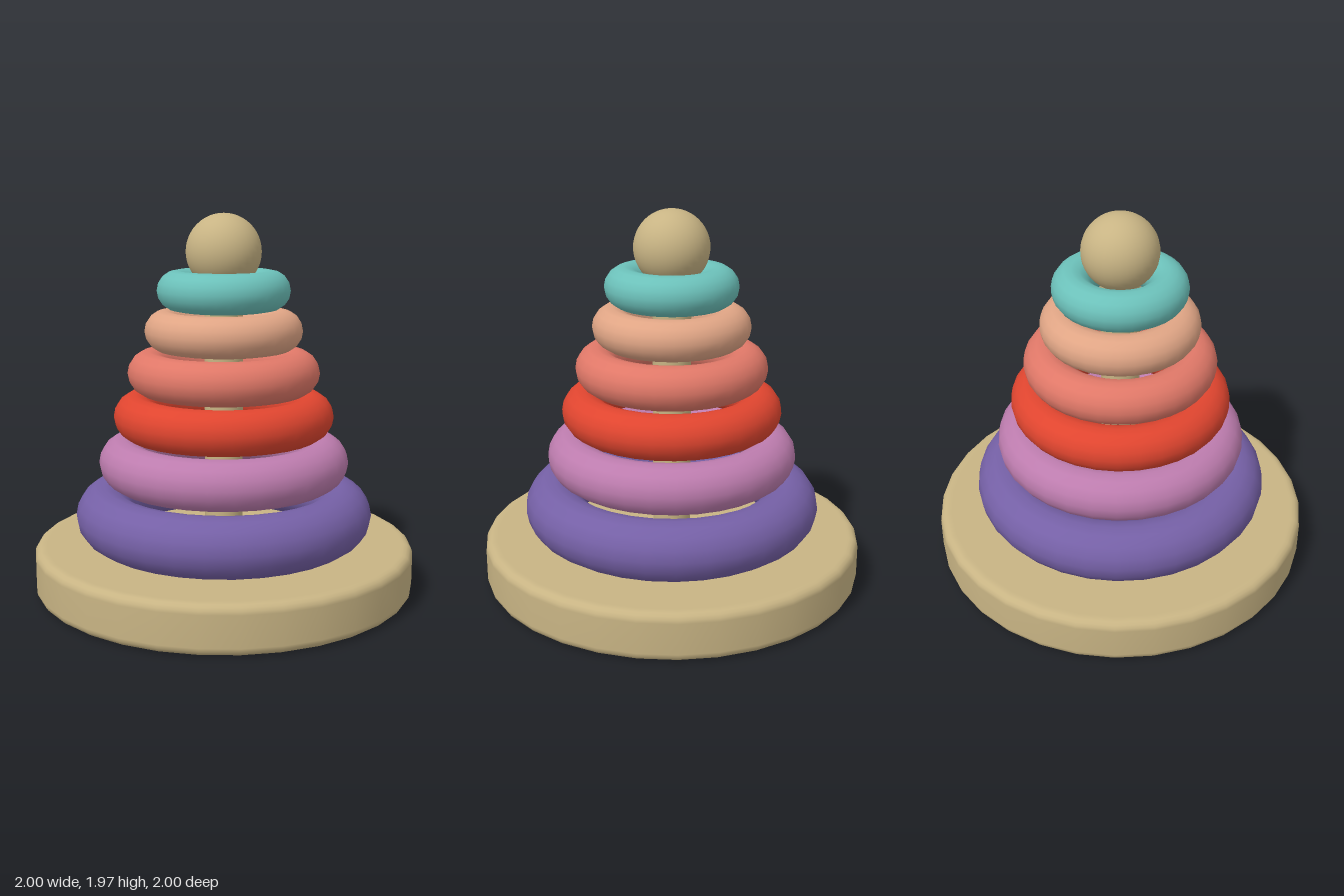
import * as THREE from 'three';

const material = (name, color) => {
  const m = new THREE.MeshStandardMaterial({ color });
  m.name = name;
  return m;
};

export function createModel() {
  const model = new THREE.Group();
  model.name = 'stackingRings';
  const wood = material('wood', 0xc8b484);
  const add = (name, geometry, mat, y = 0) => {
    const mesh = new THREE.Mesh(geometry, mat);
    mesh.name = name;
    mesh.position.y = y;
    model.add(mesh);
  };

  // round base with softened rims
  const height = 0.25, bevel = 0.045;
  const profile = [new THREE.Vector2(0, 0), new THREE.Vector2(0.94, 0)];
  for (const [cy, start] of [[bevel, -Math.PI / 2], [height - bevel, 0]]) {
    for (let i = 0; i <= 4; i++) {
      const a = start + (i / 4) * Math.PI / 2;
      profile.push(new THREE.Vector2(1 - bevel + bevel * Math.cos(a), cy + bevel * Math.sin(a)));
    }
  }
  profile.push(new THREE.Vector2(0.94, height), new THREE.Vector2(0, height));
  add('base', new THREE.LatheGeometry(profile, 32), wood);

  // rings: name, colour, bottom, top, outer radius
  const rings = [
    ['purple', 0x7560a6, 0.25, 0.555, 0.78],
    ['mauve', 0xbd7cae, 0.555, 0.81, 0.655],
    ['red', 0xe0452f, 0.81, 1.04, 0.575],
    ['coral', 0xe07868, 1.04, 1.265, 0.5],
    ['peach', 0xe0a585, 1.265, 1.475, 0.41],
    ['teal', 0x6cc1ba, 1.475, 1.68, 0.345],
  ];
  for (const [name, color, bottom, top, outer] of rings) {
    const tube = (top - bottom) / 2;
    const ring = new THREE.TorusGeometry(outer - tube, tube, 16, 32).rotateX(-Math.PI / 2);
    add(name + 'Ring', ring, material(name, color), (bottom + top) / 2);
  }

  // centre pole and ball on top
  add('pole', new THREE.CylinderGeometry(0.1, 0.1, 1.4, 24), wood, 0.94);
  add('ball', new THREE.SphereGeometry(0.195, 32, 24), wood, 1.775);
  return model;
}
